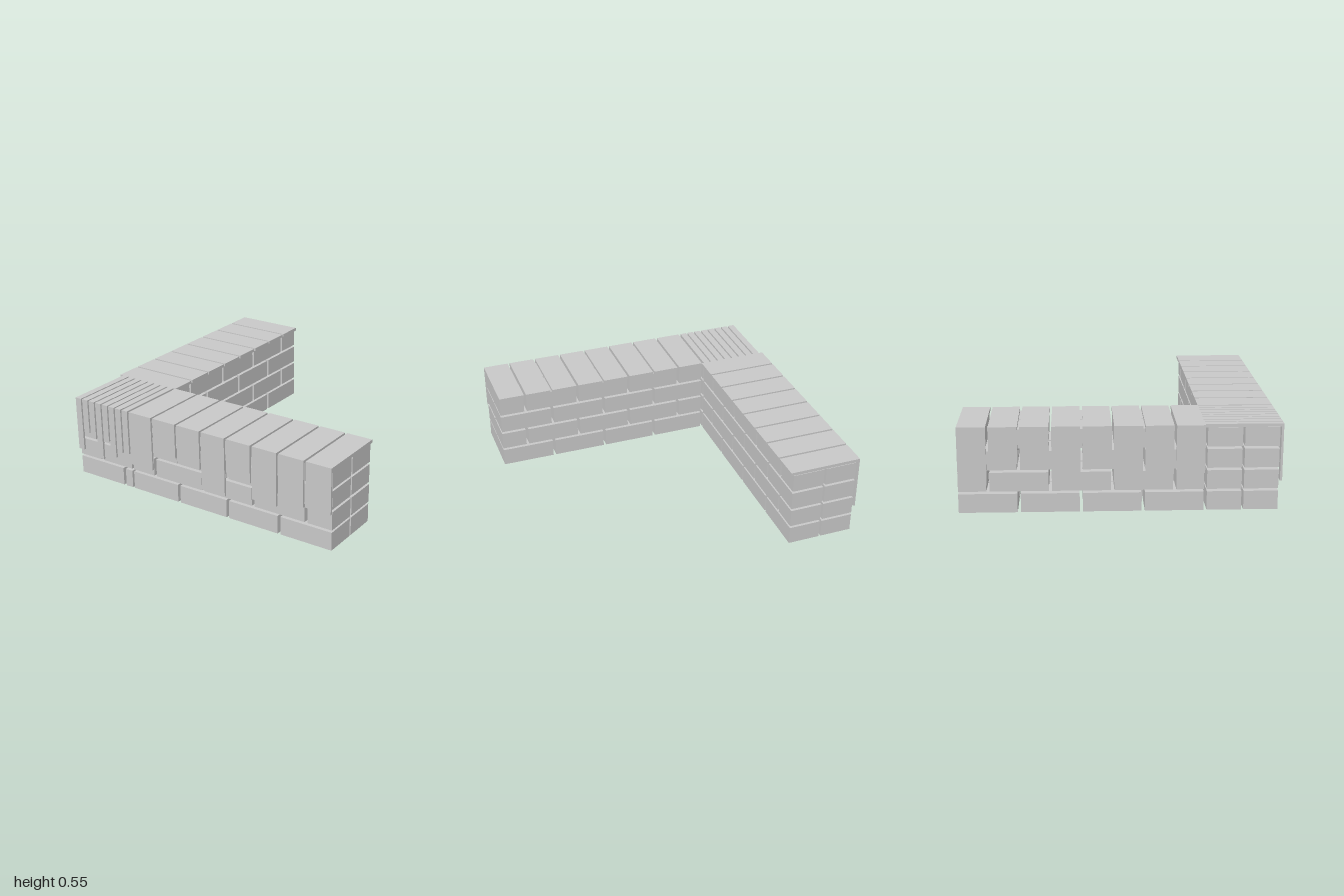
import * as THREE from 'three';

const stone = new THREE.MeshStandardMaterial({ color: 0xc8c8c8 });
stone.name = 'grey stone';

// Box given by its lower and upper limits on each axis
function block(parent, name, [x0, x1], [y0, y1], [z0, z1]) {
  const geo = new THREE.BoxGeometry(x1 - x0, y1 - y0, z1 - z0);
  geo.translate((x0 + x1) / 2, (y0 + y1) / 2, (z0 + z1) / 2);
  const mesh = new THREE.Mesh(geo, stone);
  mesh.name = name;
  parent.add(mesh);
}

const COURSE = 0.137, BRICK_H = 0.121, BRICK_L = 0.364, HALF_L = 0.174, GAP = 0.02;
const ROWS = [[0.533, 0.7485], [0.7625, 0.977]];
const HANG_BOTTOM = [0.185, 0.32, 0.29, 0.157, 0.3, 0.197, 0.245, 0.25];

// Four open-jointed courses, two bricks deep; odd courses start with a half brick
function brickwork(parent, start, end) {
  for (let c = 0; c < 4; c++) {
    const y = c * COURSE;
    let x = start, first = true;
    while (x < end - 0.02) {
      const length = first && c % 2 ? HALF_L : BRICK_L;
      const x1 = Math.min(x + length, end);
      for (const z of ROWS) block(parent, 'brick', [x, x1], [y, y + BRICK_H], z);
      x += length + GAP;
      first = false;
    }
  }
}

// Eight coping slabs, each with a panel hanging down the outer face
function coping(parent, start, pitch, gap) {
  HANG_BOTTOM.forEach((bottom, i) => {
    const x = [start + i * pitch, start + (i + 1) * pitch - gap];
    block(parent, 'copingSlab', x, [0.533, 0.554], [0.516, 1]);
    block(parent, 'hangingPanel', x, [bottom, 0.533], [0.986, 1]);
  });
}

function wallArm(name) {
  const arm = new THREE.Group();
  arm.name = name;
  brickwork(arm, -0.52, 0.997);
  coping(arm, -0.517, 0.1915, 0.015);
  return arm;
}

export function createModel() {
  const model = new THREE.Group();
  model.name = 'cornerWall';

  model.add(wallArm('frontArm'));

  // Side arm: same run turned so its panels face -x
  const side = wallArm('sideArm');
  side.rotation.y = -Math.PI / 2;
  side.position.z = -0.483;
  model.add(side);

  // Corner pier with narrow slabs
  const corner = new THREE.Group();
  corner.name = 'corner';
  brickwork(corner, -0.975, -0.535);
  coping(corner, -0.974, 0.0565, 0.011);
  model.add(corner);

  return model;
}
